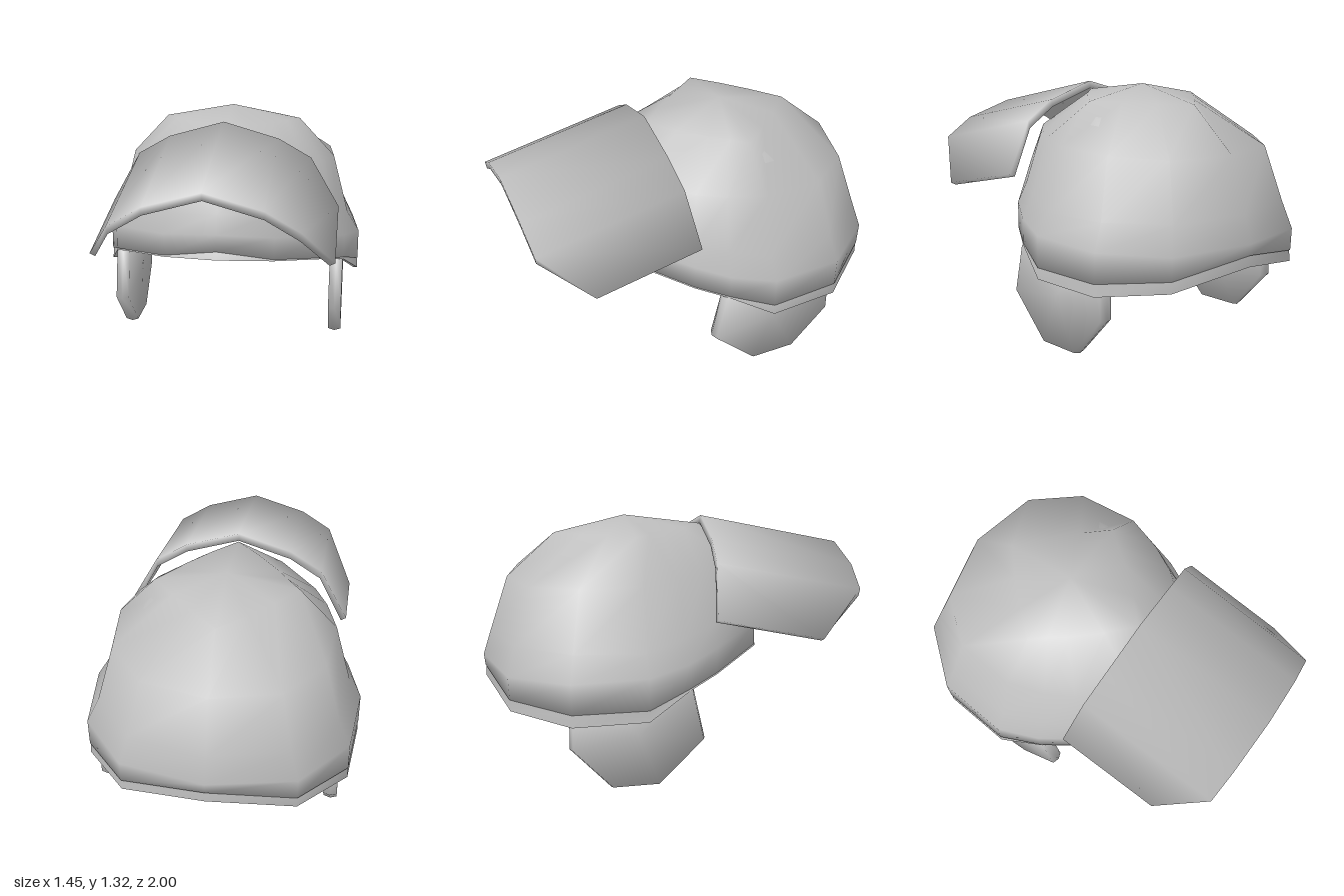
import * as THREE from 'three';
import { mergeVertices } from 'three/addons/utils/BufferGeometryUtils.js';

const shellGrey = new THREE.MeshStandardMaterial({ color: 0xc0c0c0, side: THREE.DoubleSide });
shellGrey.name = 'shell grey';

// Smooth normals in which every face counts the same, so thin edges look rounded
function softenNormals(geo) {
  const pos = geo.attributes.position, index = geo.index.array;
  const sums = Array.from({ length: pos.count }, () => new THREE.Vector3());
  const tri = new THREE.Triangle(), normal = new THREE.Vector3();
  for (let i = 0; i < index.length; i += 3) {
    const corners = [index[i], index[i + 1], index[i + 2]];
    tri.setFromAttributeAndIndices(pos, ...corners);
    if (tri.getArea() < 1e-7) continue;
    tri.getNormal(normal);
    corners.forEach(c => sums[c].add(normal));
  }
  const flat = sums.flatMap(s => s.normalize().toArray());
  geo.setAttribute('normal', new THREE.Float32BufferAttribute(flat, 3));
}

// Skin a list of point rings, each joined to the next
function skin(name, rings) {
  const n = rings[0].length, index = [];
  for (let r = 0; r < rings.length - 1; r++) {
    for (let i = 0; i < n; i++) {
      const a = r * n + i, b = r * n + (i + 1) % n;
      index.push(a, b, b + n, a, b + n, a + n);
    }
  }
  let geo = new THREE.BufferGeometry();
  geo.setAttribute('position', new THREE.Float32BufferAttribute(rings.flat(2), 3));
  geo.setIndex(index);
  geo = mergeVertices(geo, 1e-4);
  softenNormals(geo);
  const mesh = new THREE.Mesh(geo, shellGrey);
  mesh.name = name;
  return mesh;
}

// Half outlines from the front, round the left side, to the back:
// the full one, and a four-cornered one for the crown
const ROUND = { u: [0, 0.4, 0.76, 0.89, 1, 0.95, 0.62, 0], v: [1, 0.89, 0.52, 0.3, 0, -0.5, -0.87, -1] };
const DIAMOND = { u: [0, 0.33, 0.65, 0.82, 1, 0.7, 0.37, 0], v: [1, 0.72, 0.4, 0.2, 0, -0.34, -0.67, -1] };
const MID = -0.22;

// Full ring from half width, front z, back z and eight heights
function ring(hx, front, back, ys, { u, v } = ROUND) {
  const half = u.map((w, i) => [
    w * hx, ys[i], MID + v[i] * (v[i] > 0 ? front - MID : MID - back),
  ]);
  const mirror = half.slice(1, -1).reverse().map(([x, y, z]) => [-x, y, z]);
  return [...half, ...mirror];
}

// Heights blended from front, side and back values
const heights = (f, s, b, { v } = ROUND) => v.map(t => s + (t > 0 ? (f - s) * t : (s - b) * t));

function buildHelmet() {
  const g = new THREE.Group();
  g.name = 'helmet';
  const rimY = [0.645, 0.625, 0.553, 0.5, 0.375, 0.36, 0.39, 0.46];
  const ledgeY = [0.69, 0.632, 0.56, 0.51, 0.435, 0.425, 0.45, 0.52];
  const beltY = [0.78, 0.75, 0.69, 0.64, 0.6, 0.58, 0.57, 0.58];

  const rim = ring(0.727, 0.53, -0.99, rimY);
  const groove = ring(0.723, 0.521, -0.988, ledgeY);

  g.add(skin('dome', [
    groove,
    ring(0.727, 0.526, -0.993, ledgeY),
    ring(0.727, 0.525, -1.0, beltY),
    ring(0.66, 0.5, -0.955, heights(0.88, 0.71, 0.72)),
    ring(0.572, 0.42, -0.86, heights(1.07, 1.04, 1.005)),
    ring(0.375, 0.2, -0.6, heights(1.262, 1.25, 1.235, DIAMOND), DIAMOND),
    ring(0, MID, MID, heights(1.32, 1.32, 1.32)),
  ]));
  g.add(skin('rimBand', [rim, groove]));

  // Hollow inside, tapering to the rim
  g.add(skin('lining', [
    ring(0, MID, MID, heights(1.29, 1.29, 1.29)),
    ring(0.355, 0.18, -0.58, heights(1.225, 1.22, 1.205, DIAMOND), DIAMOND),
    ring(0.545, 0.39, -0.83, heights(1.05, 1.02, 0.985)),
    ring(0.632, 0.472, -0.927, heights(0.87, 0.705, 0.715)),
    ring(0.7, 0.5, -0.97, beltY),
    ring(0.705, 0.505, -0.97, rimY),
    rim,
  ]));
  return g;
}

function buildVisor() {
  const row = half => [
    ...half.slice(1).reverse().map(([x, y, z]) => [-x, y, z]), ...half,
  ];
  const front = row([[0, 1.135, 1.0], [0.29, 1.052, 0.99], [0.46, 0.95, 0.975], [0.612, 0.725, 0.725]]);
  const rear = row([[0, 1.305, 0.21], [0.29, 1.22, 0.2], [0.46, 1.12, 0.185], [0.612, 0.85, 0.155]]);
  const under = pts => pts.map(([x, y, z]) => {
    const tip = Math.abs(x) > 0.6;
    return [x * (tip ? 0.955 : 0.985), y - (tip ? 0.015 : 0.04), z - 0.005];
  });
  const frontIn = under(front), rearIn = under(rear);
  const loop = (f, r) => [...f, ...[...r].reverse()];

  // Underside, edge and top as one curved plate; the end loops fold onto the rear edge
  return skin('visor', [
    loop(rearIn, rearIn), loop(frontIn, rearIn), loop(front, rear), loop(rear, rear),
  ]);
}

function buildEarGuard(side) {
  // Outline as (z, y) pairs
  const outline = [
    [0.09, 0.235], [-0.15, 0], [-0.4, 0], [-0.61, 0.22],
    [-0.61, 0.42], [-0.46, 0.53], [-0.05, 0.55], [0.03, 0.5],
  ];
  const slice = (x, scale) => outline.map(([z, y]) => [
    x, 0.28 + (y - 0.28) * scale, -0.26 + (z + 0.26) * scale,
  ]);
  const mesh = skin(side > 0 ? 'leftEarGuard' : 'rightEarGuard', [
    slice(-0.036, 0), slice(-0.036, 0.965), slice(0, 1),
    slice(0.036, 0.965), slice(0.036, 0),
  ]);
  mesh.position.x = side * 0.607;
  return mesh;
}

export function createModel() {
  const model = new THREE.Group();
  model.name = 'visoredHelmet';
  model.add(buildHelmet(), buildVisor());
  for (const side of [1, -1]) model.add(buildEarGuard(side));
  return model;
}
